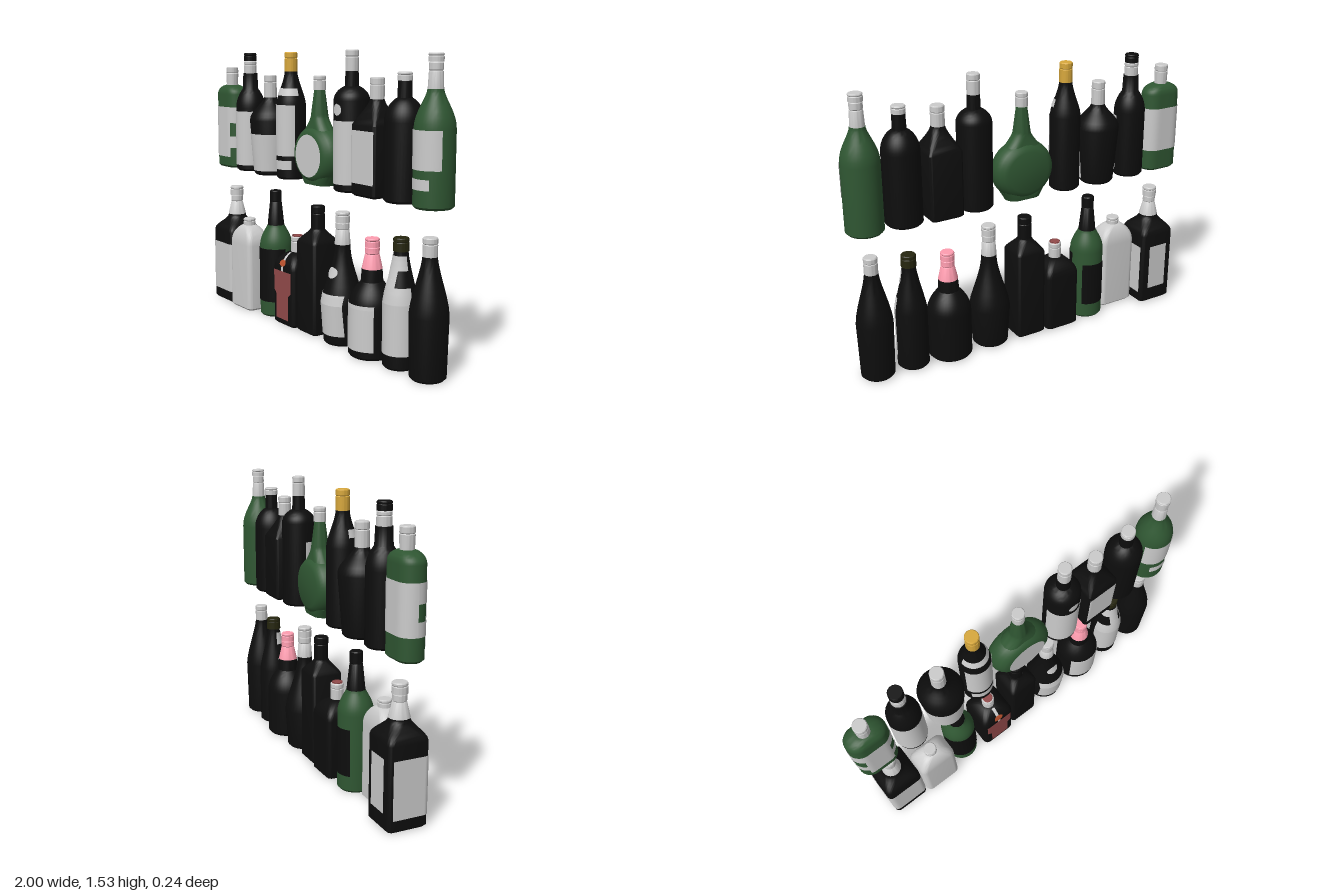
import * as THREE from 'three';
import { toCreasedNormals } from 'three/addons/utils/BufferGeometryUtils.js';

const BLACK = 0x0d0d0d, GREEN = 0x2f5632, GREY = 0xcccccc, GOLD = 0xd8a83c,
  RED = 0x924a4a, ORANGE = 0xb8502c, PINK = 0xff9db0, OLIVE = 0x26260f;
const UPPER = 0.82; // height of the upper row

function add(group, geo, color, name, side = THREE.FrontSide) {
  const mesh = new THREE.Mesh(geo, new THREE.MeshStandardMaterial({ color, side }));
  mesh.name = name;
  group.add(mesh);
}

// triangles between rows of equally many points
function grid(rows) {
  const n = rows[0].length, index = [];
  for (let i = 0; i < rows.length - 1; i++) for (let j = 0; j < n - 1; j++) {
    const a = i * n + j, b = a + 1, c = b + n, d = a + n;
    index.push(a, b, c, a, c, d);
  }
  const g = new THREE.BufferGeometry();
  g.setAttribute('position', new THREE.Float32BufferAttribute(rows.flat(2), 3));
  g.setIndex(index);
  g.computeVertexNormals();
  return g;
}

// a ring is [y, halfWidth, halfDepth, cornerRadius]; round when only a radius is given
const full = ([y, hx, hz = hx, r = Math.min(hx, hz)]) => [y, hx, hz, r];
const mix = (a, b, t) => a.map((v, k) => v + (b[k] - v) * t);

function ringPoints([y, hx, hz, r]) {
  const pts = [], n = 9;
  for (let q = 0; q < 4; q++) for (let k = 0; k <= n; k++) {
    const a = (q + k / n) * Math.PI / 2;
    const sx = q === 0 || q === 3 ? 1 : -1, sz = q < 2 ? -1 : 1;
    pts.push([sx * (hx - r) + r * Math.cos(a), y, sz * (hz - r) - r * Math.sin(a)]);
  }
  pts.push(pts[0]);
  return pts;
}

// closed solid through the rings
function loft(rings) {
  const r = rings.map(full);
  const all = [[r[0][0], 0, 0, 0], ...r, [r.at(-1)[0], 0, 0, 0]];
  return toCreasedNormals(grid(all.map(ringPoints)), 0.6);
}

// bevelled foot, straight wall, shoulder curving in by (1 - t^p)^q, then the neck
function bottleRings({ y0 = 0, hx, hz = hx, r = Math.min(hx, hz), base = hx, shoulder, neck, top = neck, bend: [p, q] = [2, 1] }) {
  const foot = [y0 + 0.012, base, hz + base - hx, r + base - hx];
  const wall = [shoulder, hx, hz, r], neckRing = full(neck);
  const rings = [[y0, foot[1] - 0.012, foot[2] - 0.012, foot[3] * 0.86], foot, wall];
  for (let k = 1; k <= 10; k++) {
    const t = Math.sin(k / 10 * Math.PI / 2);
    const ring = mix(neckRing, wall, (1 - t ** p) ** q);
    ring[0] = shoulder + (neck[0] - shoulder) * t;
    rings.push(ring);
  }
  if (top !== neck) rings.push(full(top));
  return rings;
}

function ringAt(rings, y) {
  let i = 0;
  while (i < rings.length - 2 && rings[i + 1][0] < y) i++;
  const [a, b] = [rings[i], rings[i + 1]];
  return mix(a, b, THREE.MathUtils.clamp((y - a[0]) / (b[0] - a[0]), 0, 1));
}

// label lying on the glass; w is a half width or a rule of y; dir counts quarter turns from the front
function labelPatch(rings, y0, y1, { w = 9, dir = 0, lift = 0.003 }) {
  const ys = rings.map(r => r[0]).filter(y => y > y0 && y < y1);
  for (let i = 0; i <= 12; i++) ys.push(y0 + (y1 - y0) * i / 12);
  ys.sort((a, b) => a - b);
  const rows = ys.map(y => {
    let [, hx, hz, r] = ringAt(rings, y);
    if (dir % 2) [hx, hz] = [hz, hx];
    hx += lift; hz += lift; r += lift;
    const half = Math.min(typeof w === 'function' ? w(y) : w, hx), row = [];
    for (let j = 0; j <= 24; j++) {
      const x = half * Math.sin((j / 24 - 0.5) * Math.PI);
      const o = Math.max(0, Math.abs(x) - hx + r);
      row.push([x, y, hz - r + Math.sqrt(Math.max(0, r * r - o * o))]);
    }
    return row;
  });
  return grid(rows).rotateY(dir * Math.PI / 2);
}

// one bottle; caps, labels and oval seals are chained onto it
function bottle(model, name, color, x, spec) {
  const group = new THREE.Group(), rings = bottleRings(spec);
  group.name = name;
  group.position.set(x, 0, spec.z ?? 0);
  model.add(group);
  add(group, loft(rings), color, 'glass');
  const self = {
    group,
    // stopper with a groove below its top
    cap(y0, y1, r0, r1 = r0, c = GREY) {
      const g = y0 + (y1 - y0) * 0.68;
      add(group, loft([[y0, r0], [g - 0.004, r1], [g, r1 - 0.003], [g + 0.004, r1], [y1 - 0.005, r1], [y1, r1 - 0.004]]), c, 'cap');
      return self;
    },
    label(y0, y1, opts = {}) {
      add(group, labelPatch(rings, y0, y1, opts), opts.color ?? GREY, 'label', THREE.DoubleSide);
      return self;
    },
    seal(cy, rx, ry, opts = {}) {
      const w = y => rx * Math.sqrt(Math.max(0, 1 - ((y - cy) / ry) ** 2));
      return self.label(cy - ry, cy + ry, { ...opts, w });
    },
  };
  return self;
}

// upright disc body with flat round faces and a foot
function discBody(group) {
  const half = [[0, -0.075], [0.12, -0.075], [0.142, -0.066], [0.16, -0.047], [0.17, -0.025]];
  const pts = [...half, [0.174, 0], ...half.map(([r, h]) => [r, -h]).reverse()].map(p => new THREE.Vector2(...p));
  const body = new THREE.LatheGeometry(pts, 48).rotateX(Math.PI / 2).scale(1, 0.92, 1).translate(0, 0.978, 0);
  add(group, toCreasedNormals(body, 0.6), GREEN, 'discBody');
  add(group, loft([[UPPER, 0.1, 0.055], [0.84, 0.11, 0.06], [0.87, 0.13, 0.06]]), GREEN, 'foot');
  add(group, new THREE.CircleGeometry(0.113, 40).translate(0, 0.975, 0.078), GREY, 'roundLabel', THREE.DoubleSide);
}

function upperRow(model) {
  const put = (name, color, x, spec) => bottle(model, name, color, x, { y0: UPPER, ...spec });
  put('flatGreenBottle', GREEN, -0.893, { hx: 0.11, hz: 0.066, shoulder: 1.26, neck: [1.315, 0.034], bend: [2, 0.6] })
    .cap(1.312, 1.42, 0.034, 0.036)
    .label(0.885, 1.185, { w: 0.072 }).label(1.09, 1.185).label(0.94, 1.01).label(0.94, 1.185, { dir: 2 });
  put('tallBandedBottle', BLACK, -0.684, { hx: 0.085, shoulder: 1.19, neck: [1.3, 0.045], top: [1.39, 0.041] })
    .cap(1.39, 1.46, 0.037).cap(1.46, 1.505, 0.037, 0.037, BLACK).label(0.855, 1.17);
  put('taperedBottle', BLACK, -0.468, { base: 0.094, hx: 0.118, shoulder: 1.13, neck: [1.265, 0.036], bend: [2, 2] })
    .cap(1.26, 1.385, 0.037, 0.036).label(0.845, 1.055);
  put('goldCapBottle', BLACK, -0.257, { hx: 0.082, shoulder: 1.23, neck: [1.41, 0.035], bend: [1.5, 1.7] })
    .cap(1.41, 1.515, 0.035, 0.035, GOLD)
    .label(0.95, 1.23, { w: 0.08 }).label(0.875, 0.925, { w: 0.07 }).label(1.28, 1.32);
  const disc = put('discBottle', GREEN, 0.012, { y0: 1.02, hx: 0.142, hz: 0.062, shoulder: 1.04, neck: [1.19, 0.046], top: [1.32, 0.029], bend: [1.5, 1.7] })
    .cap(1.32, 1.395, 0.033);
  discBody(disc.group);
  put('sealBottle', BLACK, 0.289, { hx: 0.092, shoulder: 1.28, neck: [1.35, 0.036], top: [1.425, 0.033], bend: [2, 0.8] })
    .cap(1.425, 1.53, 0.034).label(0.86, 1.18).seal(1.235, 0.03, 0.03);
  put('squareShoulderBottle', BLACK, 0.489, { hx: 0.092, r: 0.018, shoulder: 1.17, neck: [1.295, 0.036], bend: [1.2, 1.5] })
    .cap(1.29, 1.4, 0.036).label(0.885, 1.145, { w: 0.085 });
  put('plainBottle', BLACK, 0.692, { hx: 0.097, shoulder: 1.2, neck: [1.31, 0.036], top: [1.39, 0.033], bend: [2, 0.75] })
    .cap(1.39, 1.43, 0.036);
  put('greenWineBottle', GREEN, 0.9, { hx: 0.097, shoulder: 1.18, neck: [1.36, 0.038], bend: [2, 1.7] })
    .cap(1.36, 1.48, 0.037, 0.033).cap(1.48, 1.52, 0.036)
    .label(1, 1.18, { w: 0.092 }).label(0.91, 0.96, { w: 0.057 });
}

function lowerRow(model) {
  const put = (name, color, x, spec) => bottle(model, name, color, x, spec);
  const square = put('squareLabelledBottle', BLACK, -0.858, { hx: 0.107, r: 0.026, shoulder: 0.43, neck: [0.53, 0.052], bend: [2, 2.5] })
    .cap(0.53, 0.645, 0.053, 0.035).cap(0.645, 0.7, 0.039).label(0.065, 0.36).label(0.09, 0.36, { w: 0.06, dir: 2 });
  for (const dir of [1, 3]) square.label(0.065, 0.36, { w: 0.085, dir });
  put('flask', GREY, -0.634, { z: 0.048, hx: 0.11, hz: 0.073, r: 0.03, shoulder: 0.39, neck: [0.5, 0.035], bend: [2, 0.7] })
    .cap(0.49, 0.54, 0.035);
  put('greenBlackLabelBottle', GREEN, -0.42, { hx: 0.093, shoulder: 0.41, neck: [0.53, 0.049], bend: [2, 1.3] })
    .cap(0.53, 0.73, 0.048, 0.034, BLACK)
    .label(0.09, 0.4, { color: BLACK }).label(0.09, 0.34, { w: 0.07, dir: 2, color: BLACK });
  put('redLabelBottle', BLACK, -0.203, { hx: 0.102, hz: 0.1, r: 0.03, shoulder: 0.32, neck: [0.412, 0.036], bend: [2, 0.75] })
    .cap(0.41, 0.498, 0.035).cap(0.496, 0.502, 0.029, 0.029, RED)
    .label(0.035, 0.31, { w: y => (y > 0.19 ? 0.083 : 0.058), color: RED })
    .label(0.31, 0.41, { w: 0.009 }).seal(0.356, 0.028, 0.018, { lift: 0.006, color: ORANGE });
  put('squareBlackBottle', BLACK, -0.005, { hx: 0.086, r: 0.02, shoulder: 0.5, neck: [0.575, 0.039], bend: [1.5, 1.5] })
    .cap(0.575, 0.7, 0.038, 0.038, BLACK);
  put('roundShoulderBottle', BLACK, 0.217, { base: 0.098, hx: 0.112, shoulder: 0.22, neck: [0.53, 0.041], bend: [1.5, 2] })
    .cap(0.53, 0.645, 0.042, 0.036).cap(0.645, 0.7, 0.038)
    .label(0.055, 0.275, { w: 0.09 }).seal(0.384, 0.037, 0.029);
  put('pinkCapBottle', BLACK, 0.463, { hx: 0.118, shoulder: 0.26, neck: [0.385, 0.057], top: [0.45, 0.052] })
    .cap(0.45, 0.56, 0.053, 0.037, PINK).cap(0.56, 0.605, 0.038, 0.037, PINK).label(0.045, 0.28, { w: 0.1 });
  put('medallionBottle', BLACK, 0.682, { hx: 0.085, shoulder: 0.33, neck: [0.585, 0.035], bend: [1.3, 1.5] })
    .cap(0.58, 0.645, 0.04, 0.039, OLIVE)
    .label(0.075, 0.41).label(0.41, 0.49, { w: 0.03 }).label(0.49, 0.56).seal(0.425, 0.027, 0.027, { lift: 0.007 });
  put('slopingBottle', BLACK, 0.885, { base: 0.089, hx: 0.096, shoulder: 0.31, neck: [0.59, 0.036], bend: [1.5, 1.5] })
    .cap(0.585, 0.68, 0.036);
}

export function createModel() {
  const model = new THREE.Group();
  model.name = 'bottleCollection';
  upperRow(model);
  lowerRow(model);
  return model;
}
